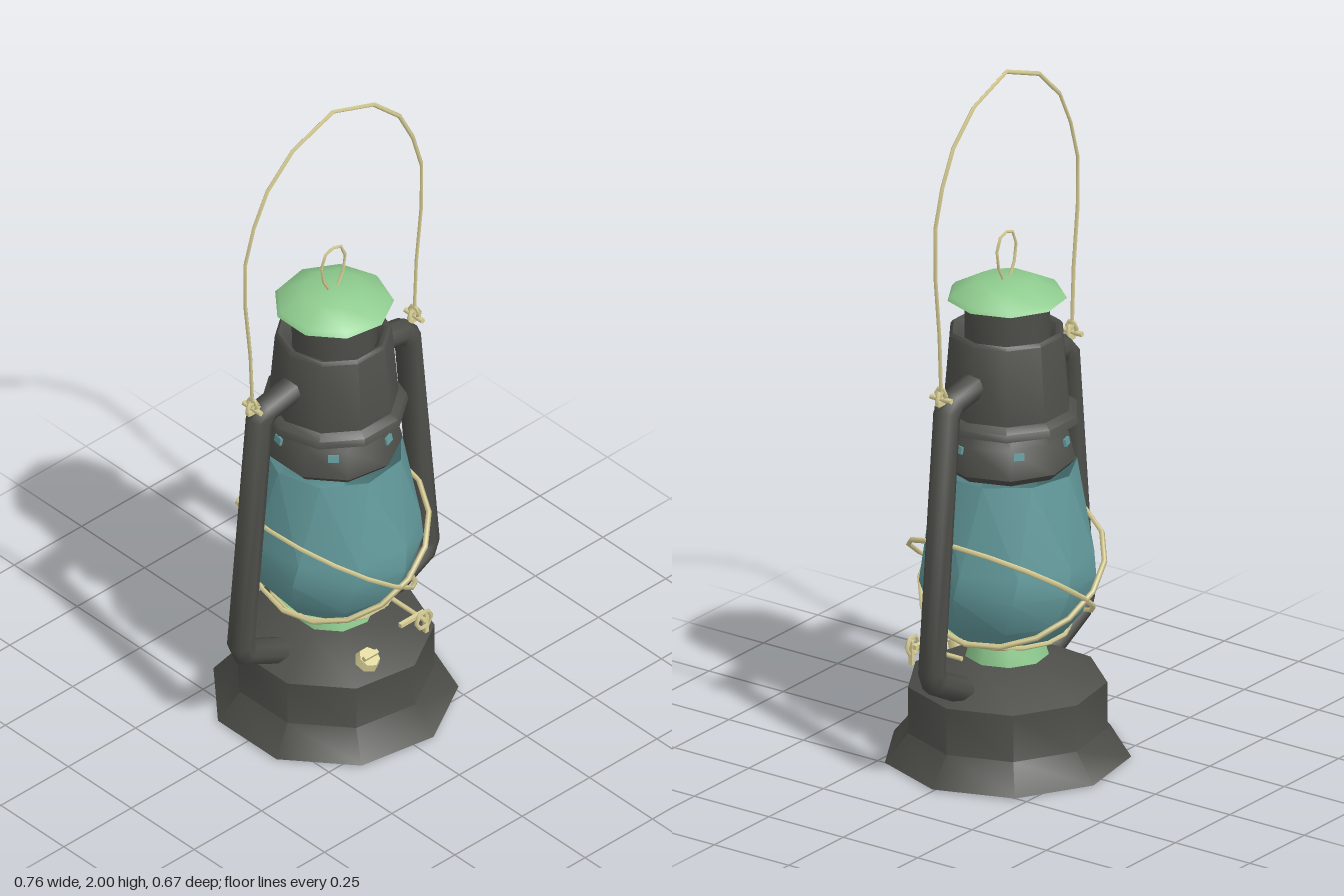
import * as THREE from 'three';
import { toCreasedNormals } from 'three/addons/utils/BufferGeometryUtils.js';

const material = (name, color, side = THREE.FrontSide) => {
  const m = new THREE.MeshStandardMaterial({ color, side });
  m.name = name;
  return m;
};

// Polyline path, so a tube bends only at its given points
class Polyline extends THREE.Curve {
  constructor(points, closed = false) {
    super();
    this.points = closed ? [...points, points[0]] : points;
    this.closed = closed;
    this.count = this.points.length - 1;
  }
  getPointAt(u) {
    return this.points[Math.round(u * this.count)].clone();
  }
  getTangentAt(u) {
    const n = this.count, i = Math.round(u * n), p = this.points;
    const before = i > 0 ? i - 1 : this.closed ? n - 1 : 0;
    const after = i < n ? i + 1 : this.closed ? 1 : n;
    const dir = (a, b) => p[b].clone().sub(p[a]).normalize();
    const here = i === n && this.closed ? 0 : i;
    return dir(before, i).add(dir(here, after)).normalize();
  }
}

const v = (x, y, z = 0) => new THREE.Vector3(x, y, z);

export function createModel() {
  const group = new THREE.Group();
  group.name = 'lantern';
  const iron = material('dark iron', 0x4d4d49, THREE.DoubleSide);
  const green = material('green enamel', 0x8ecb8e, THREE.DoubleSide);
  const glass = material('teal glass', 0x639a9c, THREE.DoubleSide);
  const brass = material('pale brass', 0xdad097);

  const add = (name, geometry, mat, x = 0, y = 0, z = 0, parent = group) => {
    const mesh = new THREE.Mesh(geometry, mat);
    mesh.name = name;
    mesh.position.set(x, y, z);
    parent.add(mesh);
    return mesh;
  };
  // Low-poly turned part, with a corner on +x and sharp profile edges
  const turned = (profile, sides, start = Math.PI / 2) => toCreasedNormals(
    new THREE.LatheGeometry(profile.map(p => new THREE.Vector2(...p)), sides, start), 0.8);
  const wire = (points, radius, sides = 4, closed = false) => {
    const path = new Polyline(points, closed);
    return new THREE.TubeGeometry(path, path.count, radius, sides, closed);
  };

  // Fuel tank and burner
  add('fuelTank', turned([[0, 0], [0.34, 0.005], [0.275, 0.085], [0.275, 0.22], [0.13, 0.295], [0, 0.3]], 9), iron);
  add('burner', turned([[0.12, 0.28], [0.1, 0.35], [0.175, 0.37], [0, 0.38]], 9), green);

  // Glass globe, with its middle rows twisted against the ends
  const globe = new THREE.LatheGeometry(
    [[0.16, 0.37], [0.21, 0.43], [0.245, 0.53], [0.238, 0.6], [0.195, 0.85]].map(p => new THREE.Vector2(...p)),
    9, Math.PI / 2);
  const pos = globe.attributes.position;
  for (let i = 0; i < pos.count; i++) {
    const p = v(pos.getX(i), pos.getY(i), pos.getZ(i));
    p.applyAxisAngle(v(0, 1, 0), (p.y - 0.53) * 0.9);
    pos.setXYZ(i, p.x, p.y, p.z);
  }
  add('globe', toCreasedNormals(globe, 0.6), glass);

  // Collar with small glazed vents
  add('collar', turned([[0, 0.85], [0.17, 0.85], [0.188, 0.87], [0.17, 0.95], [0.135, 0.99], [0.135, 1.01]], 9), iron);
  for (let i = 0; i < 6; i++) {
    const a = i * Math.PI / 3 + 0.3;
    const vent = add('vent', new THREE.BoxGeometry(0.03, 0.02, 0.008), glass,
      Math.sin(a) * 0.172, 0.935, Math.cos(a) * 0.172);
    vent.rotation.set(-0.2, a, 0, 'YXZ');
  }

  // Hood and chimney, with a gap between them
  add('hood', turned([[0.135, 1.0], [0.205, 0.99], [0.2, 1.01], [0.178, 1.025], [0.16, 1.24],
    [0.152, 1.25], [0.14, 1.245], [0.118, 1.2]], 10), iron);
  add('chimney', turned([[0.118, 1.19], [0.118, 1.355]], 9), iron);
  add('chimneyCap', turned([[0, 1.35], [0.12, 1.355], [0.165, 1.34], [0.155, 1.352], [0.085, 1.387], [0, 1.395]], 9), green);

  // Lifting ring on the cap
  add('capRing', wire([v(-0.012, 1.385), v(-0.036, 1.43), v(-0.044, 1.48), v(-0.028, 1.518), v(0, 1.527),
    v(0.028, 1.518), v(0.044, 1.48), v(0.036, 1.43), v(0.012, 1.385)], 0.005), brass);

  // Side tubes of the frame and the handle hinges
  for (const s of [1, -1]) {
    add(s > 0 ? 'leftFrameTube' : 'rightFrameTube', wire([v(s * 0.13, 1.13), v(s * 0.25, 1.107),
      v(s * 0.275, 1.08), v(s * 0.343, 0.35), v(s * 0.33, 0.315), v(s * 0.2, 0.25)], 0.038, 8), iron);
    const hinge = new THREE.Group();
    hinge.name = s > 0 ? 'leftHinge' : 'rightHinge';
    hinge.position.set(s * 0.3, 1.135, 0);
    group.add(hinge);
    add('pin', new THREE.CylinderGeometry(0.008, 0.008, 0.07, 5), brass, 0, 0, 0, hinge).rotation.x = Math.PI / 2;
    add('eye', new THREE.TorusGeometry(0.02, 0.007, 4, 6), brass, 0, 0, 0, hinge);
    add('link', new THREE.TorusGeometry(0.018, 0.006, 4, 6), brass, 0, 0.014, 0, hinge).rotation.y = Math.PI / 2;
    add('arm', new THREE.BoxGeometry(0.06, 0.012, 0.012), brass, -s * 0.01, -0.01, 0, hinge);
  }

  // Carrying handle
  const half = [[0.3, 1.14], [0.308, 1.32], [0.327, 1.5], [0.327, 1.64], [0.295, 1.75], [0.245, 1.85], [0.15, 1.94]];
  add('handle', wire([...half.map(([x, y]) => v(-x, y)), v(0, 1.995),
    ...half.slice().reverse().map(([x, y]) => v(x, y))], 0.0065), brass);

  // Two tilted guard wires crossing at front and back, and the lower ring
  for (const s of [1, -1]) {
    const loop = [];
    for (let i = 0; i < 16; i++) {
      const a = i * Math.PI / 8;
      loop.push(v(-s * (0.025 + 0.212 * Math.cos(a)), 0.53 + 0.15 * Math.cos(a), 0.272 * Math.sin(a)));
    }
    add('guardWire', wire(loop, 0.008, 4, true), brass);
  }
  add('guardRing', new THREE.TorusGeometry(0.172, 0.007, 4, 14), brass, 0, 0.375, 0).rotation.x = Math.PI / 2;

  // Filler cap on the slope of the tank
  const filler = new THREE.Group();
  filler.name = 'fillerCap';
  filler.position.set(-0.06, 0.257, 0.2);
  filler.rotation.x = 0.5;
  group.add(filler);
  add('lid', new THREE.CylinderGeometry(0.03, 0.036, 0.025, 7), brass, 0, 0.005, 0, filler);
  add('grip', new THREE.BoxGeometry(0.05, 0.018, 0.012), brass, 0, 0.022, 0, filler);

  // Wick key
  const key = new THREE.Group();
  key.name = 'wickKey';
  key.position.set(0.13, 0.305, 0);
  group.add(key);
  add('shaft', new THREE.CylinderGeometry(0.007, 0.007, 0.17, 5), brass, 0, 0, 0.14, key).rotation.x = Math.PI / 2;
  add('wheel', new THREE.TorusGeometry(0.028, 0.007, 4, 6), brass, 0, 0, 0.22, key);
  add('bar', new THREE.BoxGeometry(0.09, 0.012, 0.012), brass, -0.025, 0.005, 0.2, key);
  add('stem', new THREE.BoxGeometry(0.012, 0.07, 0.012), brass, 0.012, -0.015, 0.215, key);

  return group;
}
